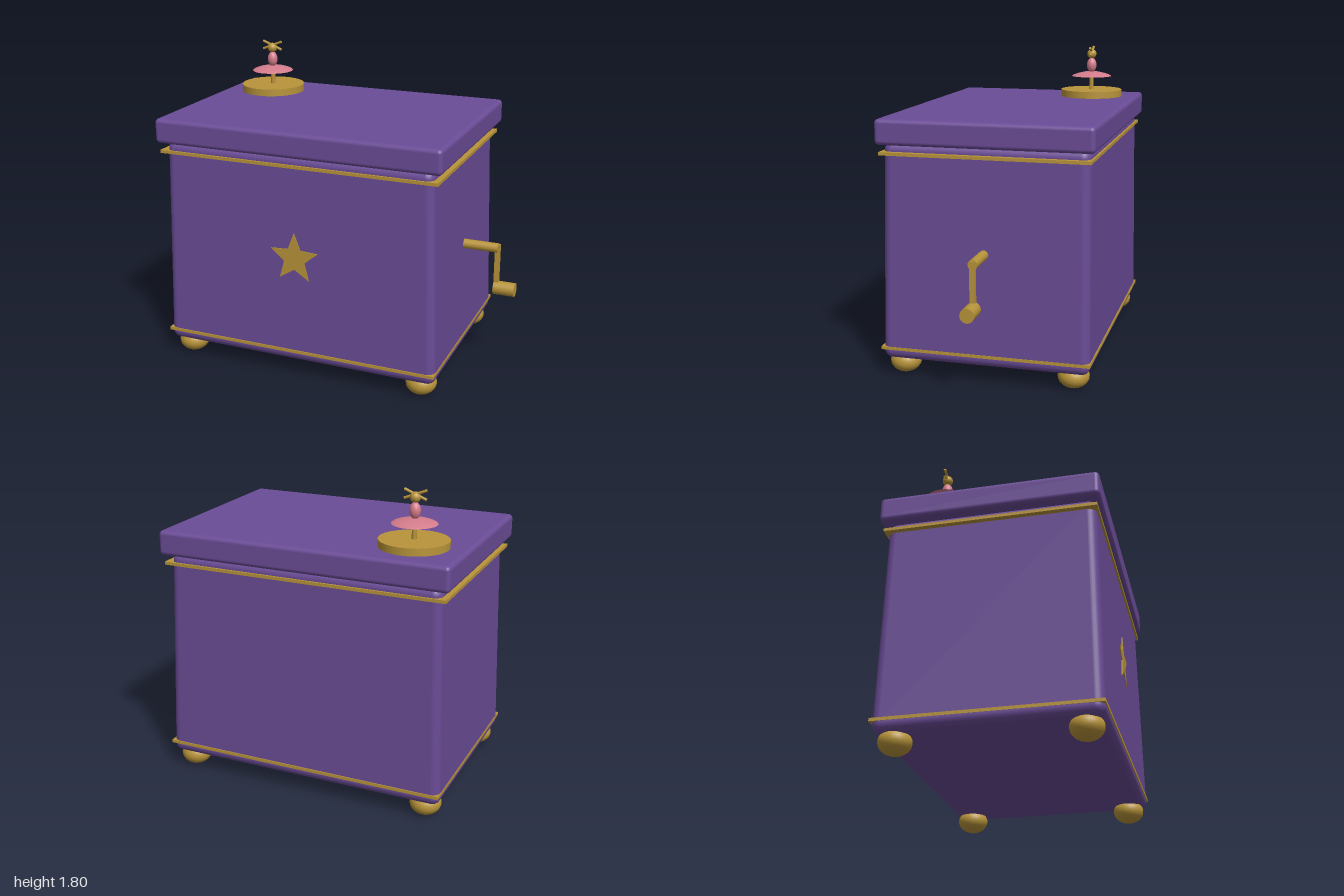
import * as THREE from 'three';
import { RoundedBoxGeometry } from 'three/addons/geometries/RoundedBoxGeometry.js';

const CX = -0.14; // middle of the box, offset to leave room for the crank

export function createModel() {
  const model = new THREE.Group();
  model.name = 'musicBox';
  const purple = new THREE.MeshStandardMaterial({ name: 'purple', color: 0x6b4c97 });
  const gold = new THREE.MeshStandardMaterial({ name: 'gold', color: 0xb8943a });
  const pink = new THREE.MeshStandardMaterial({ name: 'pink', color: 0xd47c8c, side: THREE.DoubleSide });

  const add = (name, geometry, material, x, y, z, parent = model) => {
    const mesh = new THREE.Mesh(geometry, material);
    mesh.name = name;
    mesh.position.set(x, y, z);
    parent.add(mesh);
    return mesh;
  };

  // Body: rounded box that narrows slightly towards the lid
  const body = new RoundedBoxGeometry(1.69, 1.25, 1.2, 4, 0.05);
  const p = body.attributes.position;
  for (let i = 0; i < p.count; i++) {
    const t = (p.getY(i) + 0.625) / 1.25;
    p.setX(i, p.getX(i) * (1 - 0.045 * t));
    p.setZ(i, p.getZ(i) * (1 - 0.03 * t));
  }
  add('body', body, purple, CX, 0.725, 0);

  // Lid
  add('lid', new RoundedBoxGeometry(1.725, 0.145, 1.23, 4, 0.025), purple, CX, 1.41, -0.003);

  // Gold trim bands
  add('upperTrim', new THREE.BoxGeometry(1.68, 0.018, 1.19), gold, CX, 1.288, 0);
  add('lowerTrim', new THREE.BoxGeometry(1.69, 0.018, 1.21), gold, CX, 0.165, 0);

  // Bun feet
  for (const sx of [-1, 1]) {
    for (const sz of [-1, 1]) {
      const foot = add('foot', new THREE.SphereGeometry(0.09, 24, 16), gold, CX + sx * 0.74, 0.07, sz * 0.495);
      foot.scale.y = 0.78;
    }
  }

  // Star on the front, leaning back with the tapered wall
  const star = new THREE.Shape();
  for (let i = 0; i < 10; i++) {
    const r = i % 2 ? 0.066 : 0.153;
    const a = Math.PI / 2 + (i * Math.PI) / 5;
    star[i ? 'lineTo' : 'moveTo'](r * Math.cos(a), r * Math.sin(a));
  }
  const starMesh = add('star', new THREE.ExtrudeGeometry(star, { depth: 0.009, bevelEnabled: false }), gold, CX, 0.747, 0.587);
  starMesh.rotation.x = -0.014;

  // Crank on the left side
  const crank = new THREE.Group();
  crank.name = 'crank';
  model.add(crank);
  const axle = add('crankAxle', new THREE.CylinderGeometry(0.028, 0.028, 0.25, 20), gold, 0.765, 0.748, 0, crank);
  axle.rotation.z = Math.PI / 2;
  add('crankArm', new THREE.BoxGeometry(0.028, 0.27, 0.03), gold, 0.887, 0.635, 0, crank);
  const handle = add('crankHandle', new THREE.CylinderGeometry(0.041, 0.041, 0.125, 20), gold, 0.9375, 0.5, 0, crank);
  handle.rotation.z = Math.PI / 2;

  // Turntable with dancer
  const dancer = new THREE.Group();
  dancer.name = 'dancer';
  dancer.position.set(-0.705, 0, -0.325);
  model.add(dancer);
  add('turntable', new THREE.CylinderGeometry(0.195, 0.195, 0.05, 48), gold, 0, 1.5, 0, dancer);
  add('leg', new THREE.CylinderGeometry(0.014, 0.014, 0.12, 12), gold, 0, 1.575, 0, dancer);
  const skirt = [[0.127, 0], [0.115, 0.008], [0.085, 0.018], [0.045, 0.027], [0, 0.031]]
    .map(([x, y]) => new THREE.Vector2(x, y));
  add('skirt', new THREE.LatheGeometry(skirt, 36), pink, 0, 1.61, 0, dancer);
  const torso = add('torso', new THREE.SphereGeometry(0.031, 20, 14), pink, 0, 1.68, 0, dancer);
  torso.scale.y = 1.5;
  add('head', new THREE.SphereGeometry(0.03, 20, 14), gold, 0, 1.752, 0, dancer);
  for (const s of [-1, 1]) {
    const arm = add('arm', new THREE.CylinderGeometry(0.008, 0.008, 0.135, 10), gold, 0, 1.767, 0, dancer);
    arm.rotation.z = s * (Math.PI / 2 - 0.38);
  }
  return model;
}
